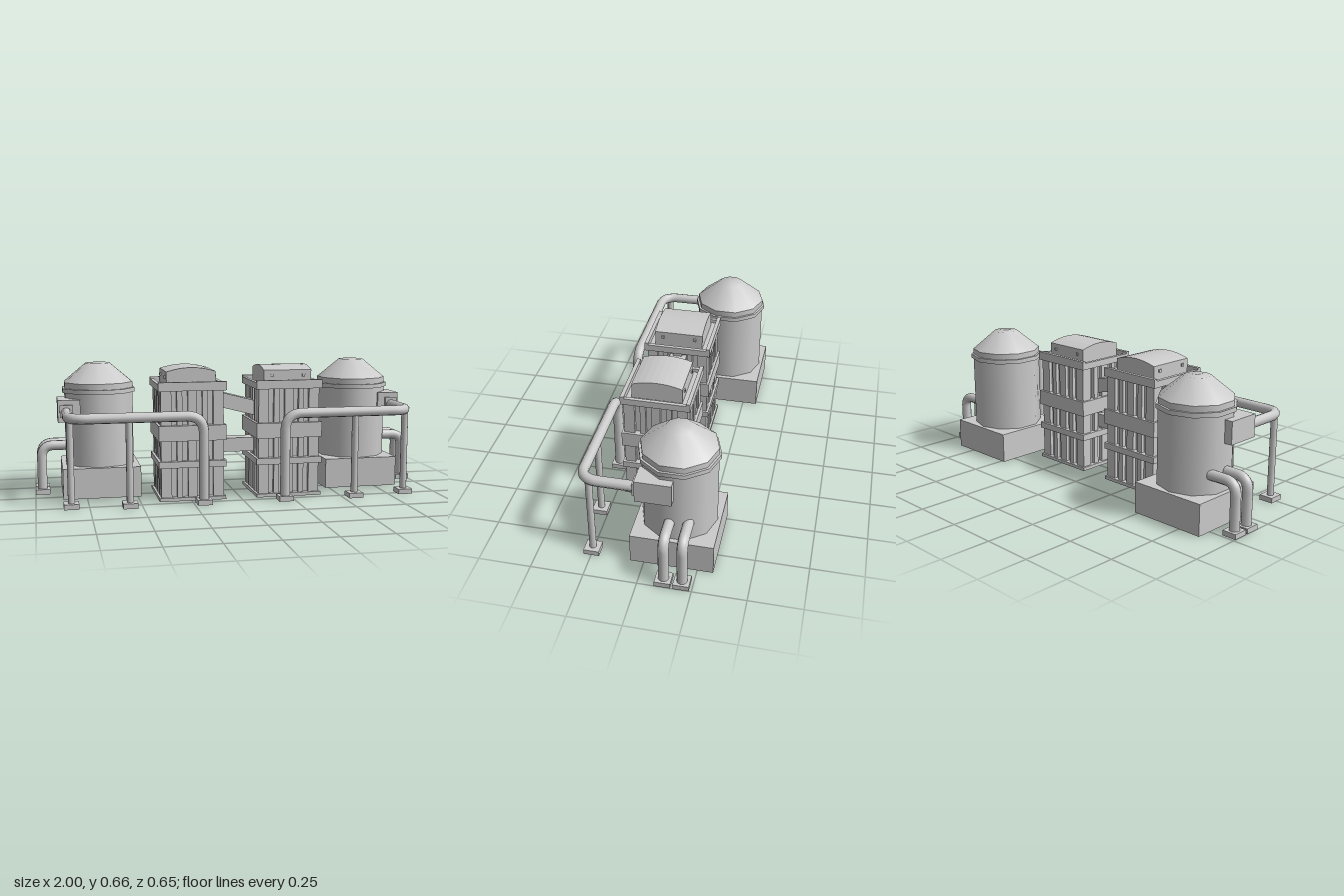
import * as THREE from 'three';

const mat = new THREE.MeshStandardMaterial({ color: 0xcccccc, side: THREE.DoubleSide });
const V = (x, y, z) => new THREE.Vector3(x, y, z);

function add(parent, name, geo, x = 0, y = 0, z = 0) {
  const m = new THREE.Mesh(geo, mat);
  m.name = name;
  m.position.set(x, y, z);
  parent.add(m);
  return m;
}

// Box given by its width, bottom and top heights, and depth
function box(parent, name, w, y0, y1, d, x = 0, z = 0) {
  return add(parent, name, new THREE.BoxGeometry(w, y1 - y0, d), x, (y0 + y1) / 2, z);
}

// Same, without the bottom face
function openBox(parent, name, w, y0, y1, d, x = 0, z = 0) {
  const m = box(parent, name, w, y0, y1, d, x, z);
  const idx = Array.from(m.geometry.index.array).filter((v, i) => i < 18 || i >= 24);
  m.geometry.setIndex(idx);
  m.geometry.clearGroups();
  return m;
}

// Square ring lying flat
function frame(parent, name, half, inner, y0, y1) {
  const square = (p, h) => p.moveTo(-h, -h).lineTo(h, -h).lineTo(h, h).lineTo(-h, h).closePath();
  const s = square(new THREE.Shape(), half);
  s.holes.push(square(new THREE.Path(), inner));
  const g = new THREE.ExtrudeGeometry(s, { depth: y1 - y0, bevelEnabled: false });
  return add(parent, name, g.rotateX(-Math.PI / 2), 0, y0, 0);
}

// Round pipe through corner points with rounded bends
function pipe(parent, name, pts, r, bend) {
  const path = new THREE.CurvePath();
  let from = pts[0];
  for (let i = 1; i < pts.length - 1; i++) {
    const p = pts[i];
    const a = p.clone().add(pts[i - 1].clone().sub(p).setLength(bend));
    const b = p.clone().add(pts[i + 1].clone().sub(p).setLength(bend));
    path.add(new THREE.LineCurve3(from, a));
    path.add(new THREE.QuadraticBezierCurve3(a, p, b));
    from = b;
  }
  path.add(new THREE.LineCurve3(from, pts[pts.length - 1]));
  return add(parent, name, new THREE.TubeGeometry(path, 72, r, 10), 0, 0, 0);
}

const foot = (parent, x, z) => openBox(parent, 'pipeFoot', 0.072, 0, 0.025, 0.074, x, z);

function lathe(parent, name, pts) {
  const g = new THREE.LatheGeometry(pts.map(([r, y]) => new THREE.Vector2(r, y)), 10);
  return add(parent, name, g);
}

// Ten-sided tank on a square plinth
function tank(s) {
  const g = new THREE.Group();
  g.name = 'tank';
  g.position.set(s * 0.674, 0, -0.13);
  openBox(g, 'plinth', 0.385, 0, 0.152, 0.388);
  lathe(g, 'tankBody', [[0.178, 0.14], [0.178, 0.566]]);
  lathe(g, 'tankRoof', [[0.178, 0.565], [0.063, 0.66], [0, 0.66]]);
  const band = new THREE.CylinderGeometry(0.189, 0.189, 0.022, 10);
  add(g, 'tankBand', band, 0, 0.526, 0);
  return g;
}

// Ribbed square tower with an arched cap
function tower(s) {
  const g = new THREE.Group();
  g.name = 'tower';
  g.position.set(s * 0.243, 0, 0.046);
  openBox(g, 'towerCore', 0.272, 0, 0.557, 0.272);
  frame(g, 'basePlate', 0.165, 0.136, 0, 0.017);
  frame(g, 'lowerBand', 0.167, 0.136, 0.165, 0.197);
  frame(g, 'upperBand', 0.167, 0.136, 0.297, 0.373);
  frame(g, 'topTrim', 0.168, 0.136, 0.542, 0.557);
  frame(g, 'topRim', 0.168, 0.149, 0.557, 0.575);
  for (const k of [-1, 1]) box(g, 'rimLip', 0.336, 0.575, 0.585, 0.019, 0, k * 0.1585);

  // Corner posts and ribs on all four sides
  for (const i of [-1, 1]) for (const k of [-1, 1])
    box(g, 'cornerPost', 0.052, 0.005, 0.55, 0.052, i * 0.129, k * 0.129);
  for (let side = 0; side < 4; side++) {
    const ribs = new THREE.Group();
    ribs.name = 'ribs';
    ribs.rotation.y = side * Math.PI / 2;
    for (const [x, w] of [[-0.063, 0.027], [0, 0.044], [0.063, 0.027]])
      box(ribs, 'rib', w, 0.005, 0.55, 0.02, x, 0.145);
    g.add(ribs);
  }

  // Arched cap, turned a quarter on the left tower
  const cap = new THREE.Group();
  cap.name = 'cap';
  if (s > 0) cap.rotation.y = Math.PI / 2;
  const sh = new THREE.Shape();
  sh.moveTo(-0.122, 0.555).lineTo(0.122, 0.555).lineTo(0.122, 0.632);
  for (let i = 1; i <= 8; i++) {
    const x = 0.122 - i * 0.0305;
    sh.lineTo(x, 0.652 - 0.02 * (x / 0.122) ** 2);
  }
  sh.closePath();
  const geo = new THREE.ExtrudeGeometry(sh, { depth: 0.244, bevelEnabled: false });
  add(cap, 'archedCap', geo, 0, 0, -0.122);
  for (const i of [-1, 1]) for (const k of [-1, 1])
    box(cap, 'capStud', 0.012, 0.598, 0.612, 0.014, i * 0.123, k * 0.082);
  g.add(cap);
  return g;
}

// Pipes on one side, with their feet and posts
function pipework(s) {
  const g = new THREE.Group();
  g.name = 'pipework';
  box(g, 'valveBox', 0.11, 0.38, 0.49, 0.167, s * 0.828, -0.0535);
  box(g, 'valveCollar', 0.062, 0.404, 0.466, 0.013, s * 0.842, 0.036);
  pipe(g, 'frontPipe', [V(s * 0.842, 0.43, 0.03), V(s * 0.842, 0.43, 0.288),
    V(s * 0.202, 0.43, 0.288), V(s * 0.202, 0.01, 0.288)], 0.025, 0.085);
  foot(g, s * 0.202, 0.287);
  for (const [x, z] of [[0.56, 0.287], [0.835, 0.249]]) {
    add(g, 'supportPost', new THREE.CylinderGeometry(0.017, 0.017, 0.405, 10), s * x, 0.2125, z);
    foot(g, s * x, z);
  }
  for (const z of [-0.116, -0.201]) {
    pipe(g, 'sidePipe', [V(s * 0.82, 0.245, z), V(s * 0.965, 0.245, z),
      V(s * 0.965, 0.01, z)], 0.025, 0.06);
    foot(g, s * 0.964, z);
  }
  return g;
}

export function createModel() {
  const model = new THREE.Group();
  model.name = 'processingPlant';
  for (const s of [-1, 1]) model.add(tank(s), tower(s), pipework(s));

  // Ducts between the towers
  box(model, 'lowerDuct', 0.2, 0.215, 0.285, 0.085, 0, 0.043);
  const duct = new THREE.BoxGeometry(0.2, 0.075, 0.085);
  const p = duct.attributes.position;
  for (let i = 0; i < p.count; i++) p.setY(i, p.getY(i) - p.getX(i) * 0.26);
  duct.computeVertexNormals();
  add(model, 'slantedDuct', duct, 0, 0.46, 0.043);
  return model;
}
